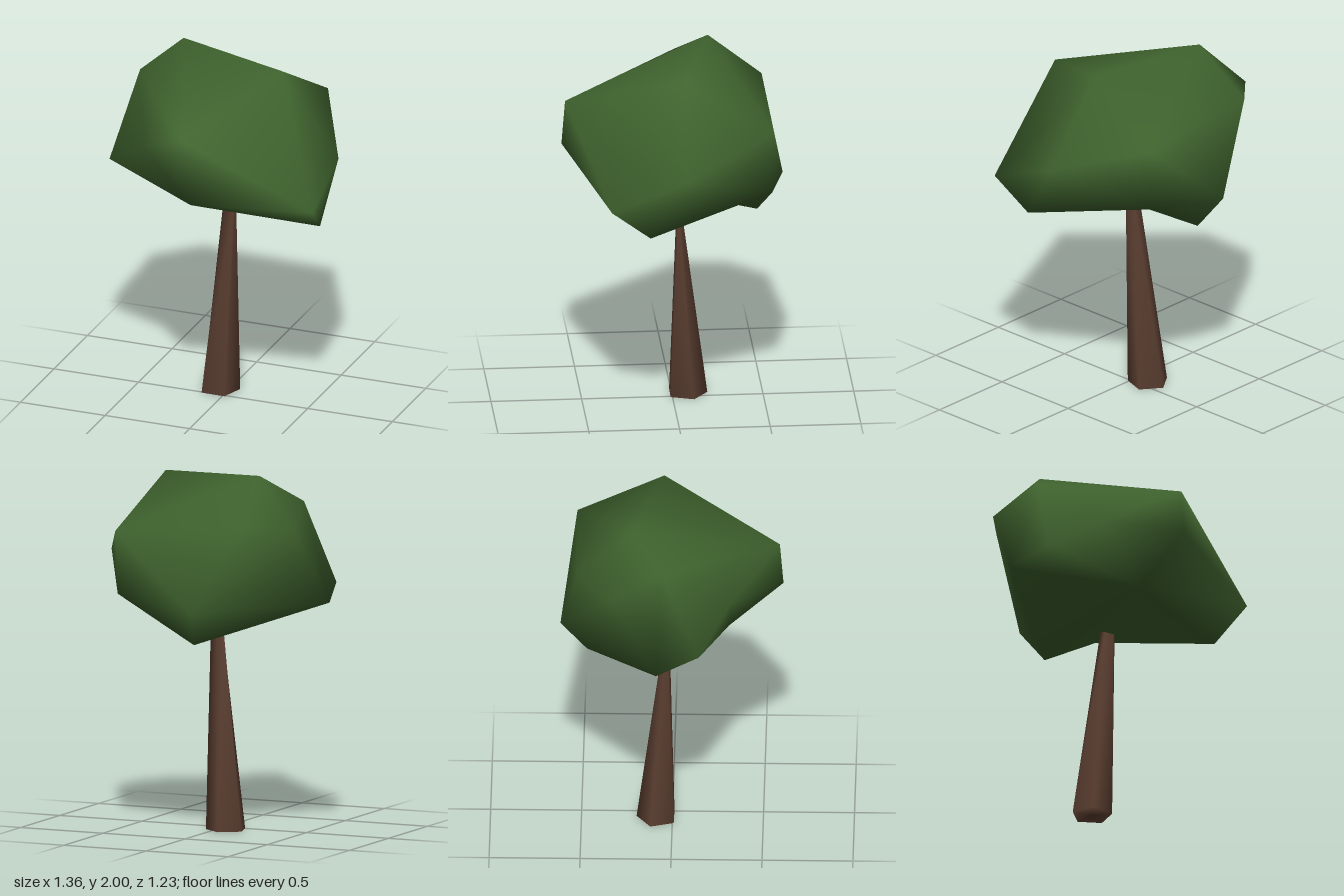
import * as THREE from 'three';
import { mergeVertices } from 'three/addons/utils/BufferGeometryUtils.js';
import { ConvexGeometry } from 'three/addons/geometries/ConvexGeometry.js';

const leafGreen = new THREE.MeshStandardMaterial({ color: 0x3f632e });
leafGreen.name = 'leafGreen';
const barkBrown = new THREE.MeshStandardMaterial({ color: 0x5c3f31 });
barkBrown.name = 'barkBrown';

// Corners of the crown
const corners = {
  topLeft: [-0.32, 2.0, -0.22], topRight: [0.33, 1.97, -0.05], shoulder: [-0.51, 1.85, -0.05],
  backHigh: [0.41, 1.69, -0.53], backHighLeft: [-0.36, 1.75, -0.52],
  backLow: [0.4, 1.34, -0.52], backTip: [-0.09, 1.27, -0.615],
  frontHigh: [-0.02, 1.75, 0.59], frontLow: [-0.02, 1.5, 0.61],
  sideHigh: [-0.58, 1.72, -0.32], sideTip: [-0.68, 1.3, -0.08], sideFront: [-0.61, 1.38, 0.155],
  farHigh: [0.67, 1.51, -0.03], farFront: [0.68, 1.35, 0.385],
  underFar: [0.64, 1.18, 0.17], underFront: [-0.07, 1.25, 0.31], underBack: [-0.04, 1.075, -0.47],
  dent: [-0.34, 1.56, 0.325],
};
const names = Object.keys(corners);
const points = names.map((name) => new THREE.Vector3(...corners[name]));

// Replaces the faces spanned by a hub and a chain of corners with a fan from the hub
function refill(faces, hub, chain) {
  const kept = faces.filter((face) => !face.every((name) => name === hub || chain.includes(name)));
  for (let i = 0; i + 1 < chain.length; i++) kept.push([hub, chain[i], chain[i + 1]]);
  return kept;
}

// Irregular boulder-like crown: a hull with a dented side and a hollow underside
function makeCrown() {
  const hull = new ConvexGeometry(points.filter((p, i) => names[i] !== 'dent')).attributes.position;
  const nameAt = (i) => {
    const p = new THREE.Vector3().fromBufferAttribute(hull, i);
    return names[points.findIndex((q) => q.distanceTo(p) < 1e-3)];
  };
  let faces = [];
  for (let i = 0; i < hull.count; i += 3) faces.push([nameAt(i), nameAt(i + 1), nameAt(i + 2)]);
  faces = refill(faces, 'dent', ['shoulder', 'sideFront', 'underFront', 'frontLow', 'frontHigh', 'shoulder']);
  faces = refill(faces, 'underFront', ['underBack', 'backLow', 'underFar']);

  const geometry = new THREE.BufferGeometry().setFromPoints(points);
  geometry.setIndex(faces.flat().map((name) => names.indexOf(name)));
  geometry.computeVertexNormals();
  const crown = new THREE.Mesh(geometry, leafGreen);
  crown.name = 'crown';
  return crown;
}

// Five-sided trunk that leans and becomes a thin, skewed blade toward its top
function makeTrunk() {
  const height = 1.11;
  const prism = new THREE.CylinderGeometry(1, 1, height, 5, 1, false, THREE.MathUtils.degToRad(35));
  prism.translate(0, height / 2, 0);
  prism.deleteAttribute('uv');
  prism.deleteAttribute('normal');
  const geometry = mergeVertices(prism, 1e-4);
  const pos = geometry.attributes.position;
  const mix = THREE.MathUtils.lerp;
  for (let i = 0; i < pos.count; i++) {
    const x = pos.getX(i), z = pos.getZ(i), t = pos.getY(i) / height;
    pos.setX(i, mix(-0.055, 0.023, t) + x * mix(0.115, 0.046, t));
    pos.setZ(i, mix(-0.083, -0.035, t) + z * mix(0.114, 0.013, t) + x * mix(0, 0.011, t));
  }
  geometry.computeVertexNormals();
  const trunk = new THREE.Mesh(geometry, barkBrown);
  trunk.name = 'trunk';
  return trunk;
}

export function createModel() {
  const tree = new THREE.Group();
  tree.name = 'tree';
  tree.add(makeCrown(), makeTrunk());
  return tree;
}
